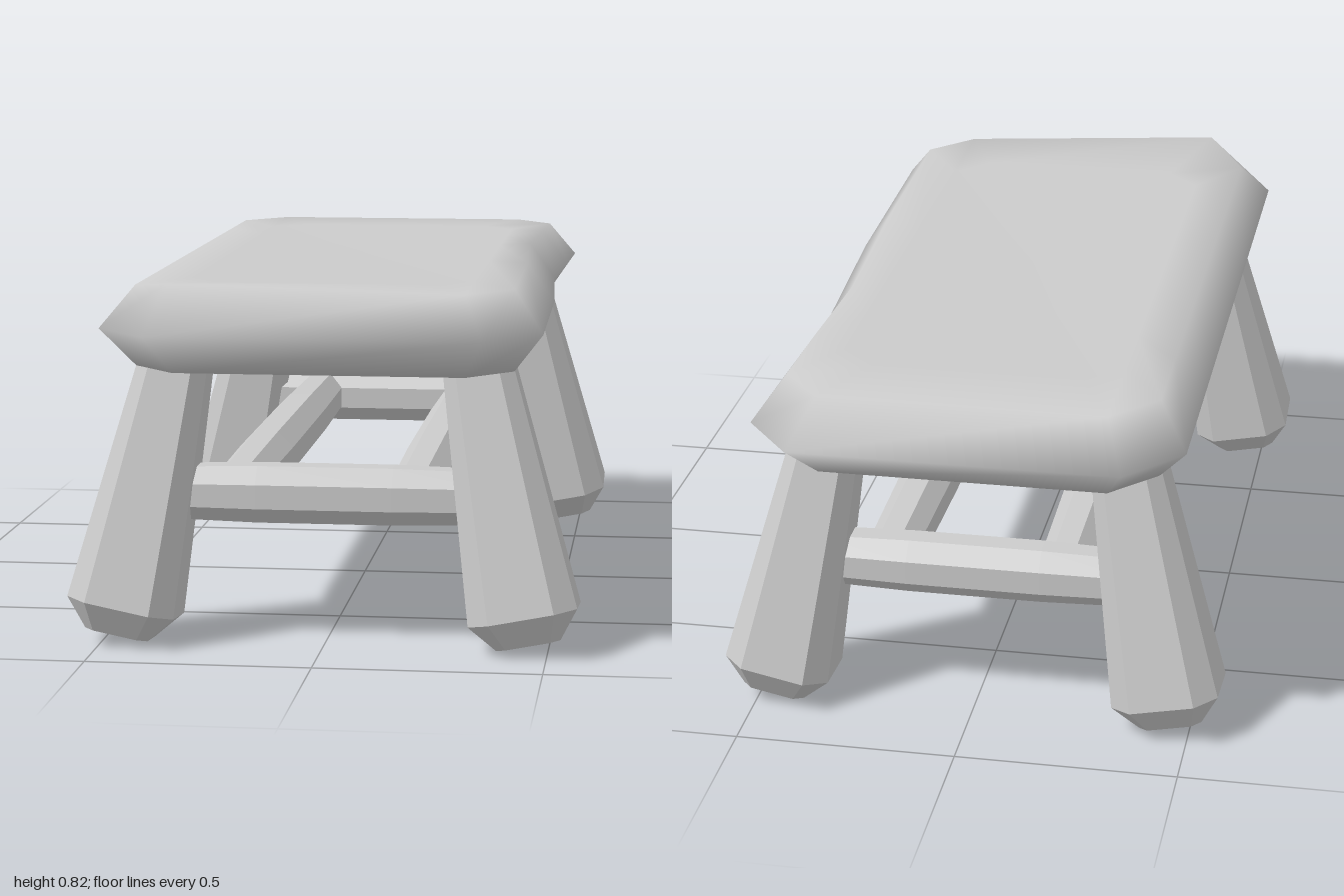
import * as THREE from 'three';

// Skin a list of rings (arrays of [x, y, z], counter-clockwise seen from above, bottom to top)
function loft(rings) {
  const n = rings[0].length, index = [];
  for (let r = 0; r < rings.length - 1; r++) {
    for (let i = 0; i < n; i++) {
      const a = r * n + i, b = r * n + (i + 1) % n;
      index.push(a, b, b + n, a, b + n, a + n);
    }
  }
  const geo = new THREE.BufferGeometry();
  geo.setAttribute('position', new THREE.Float32BufferAttribute(rings.flat(2), 3));
  geo.setIndex(index);
  geo.computeVertexNormals();
  return geo;
}

// Square ring with cut corners: half size h, half flat length f
const cutSquare = (y, h, f) => [
  [h, y, f], [h, y, -f], [f, y, -h], [-f, y, -h],
  [-h, y, -f], [-h, y, f], [-f, y, h], [f, y, h],
];

// Faceted bar between two points; sections are [fraction along, half size, half flat]
function bar(name, from, to, sections, material) {
  const a = new THREE.Vector3(...from), axis = new THREE.Vector3(...to).sub(a);
  const length = axis.length();
  const rings = sections.map(([t, h, f]) => cutSquare(t * length, h, f));
  const mesh = new THREE.Mesh(loft(rings), material);
  mesh.position.copy(a);
  mesh.quaternion.setFromUnitVectors(new THREE.Vector3(0, 1, 0), axis.normalize());
  mesh.name = name;
  return mesh;
}

// Slab outline with cut corners; the +x edge is worn in by the dents
function slabRing(y, hx, hz, ex, ez, wear) {
  const along = [1, 0.3, -0.3, -0.7, -1], dents = [0, 0.008, 0.035, 0.018, 0.01];
  const right = along.map((t, i) => [hx - wear * dents[i], y, t * ez]);
  const left = along.map((t) => [-hx, y, t * ez]).reverse();
  return [...right, [ex, y, -hz], [-ex, y, -hz], ...left, [-ex, y, hz], [ex, y, hz]];
}

export function createModel() {
  const group = new THREE.Group();
  const smooth = new THREE.MeshStandardMaterial({ color: 0xcccccc });
  const faceted = new THREE.MeshStandardMaterial({ color: 0xcccccc, flatShading: true });

  // Cushion-like slab, with one front corner lifted
  const topRim = slabRing(0.803, 0.42, 0.89, 0.32, 0.78, 0.8);
  topRim[12] = [-0.32, 0.825, 0.95];
  const slab = new THREE.Mesh(loft([
    slabRing(0.617, 0, 0, 0, 0, 0),
    slabRing(0.617, 0.32, 0.7, 0.24, 0.62, 0),
    slabRing(0.623, 0.42, 0.89, 0.32, 0.78, 0.8),
    slabRing(0.715, 0.487, 1, 0.365, 0.86, 1),
    topRim,
    slabRing(0.802, 0.32, 0.7, 0.24, 0.62, 0),
    slabRing(0.8, 0, 0, 0, 0, 0),
  ]), smooth);
  slab.name = 'slabTop';
  group.add(slab);

  // Splayed legs with bevelled feet
  for (const [end, zFoot, zHead] of [['front', 0.797, 0.72], ['back', -0.77, -0.7]]) {
    for (const [side, s] of [['Left', 1], ['Right', -1]]) {
      group.add(bar(`${end}${side}Leg`, [s * 0.46, 0.02, zFoot], [s * 0.33, 0.67, zHead], [
        [0, 0, 0], [0, 0.072, 0.05], [0.095, 0.122, 0.073], [1, 0.074, 0.045], [1, 0, 0],
      ], faceted));
    }
  }

  // Stretchers, slightly thicker in the middle
  const swell = [[0, 0, 0], [0, 0.058, 0.025], [0.3, 0.064, 0.027], [0.7, 0.064, 0.027], [1, 0.058, 0.025], [1, 0, 0]];
  for (const [end, z] of [['front', 0.74], ['back', -0.72]]) {
    group.add(bar(`${end}Stretcher`, [-0.38, 0.335, z], [0.38, 0.335, z], swell, faceted));
  }
  for (const [side, x] of [['left', 0.2], ['right', -0.2]]) {
    group.add(bar(`${side}LongStretcher`, [x, 0.337, -0.72], [x, 0.337, 0.74], swell, faceted));
  }
  return group;
}
